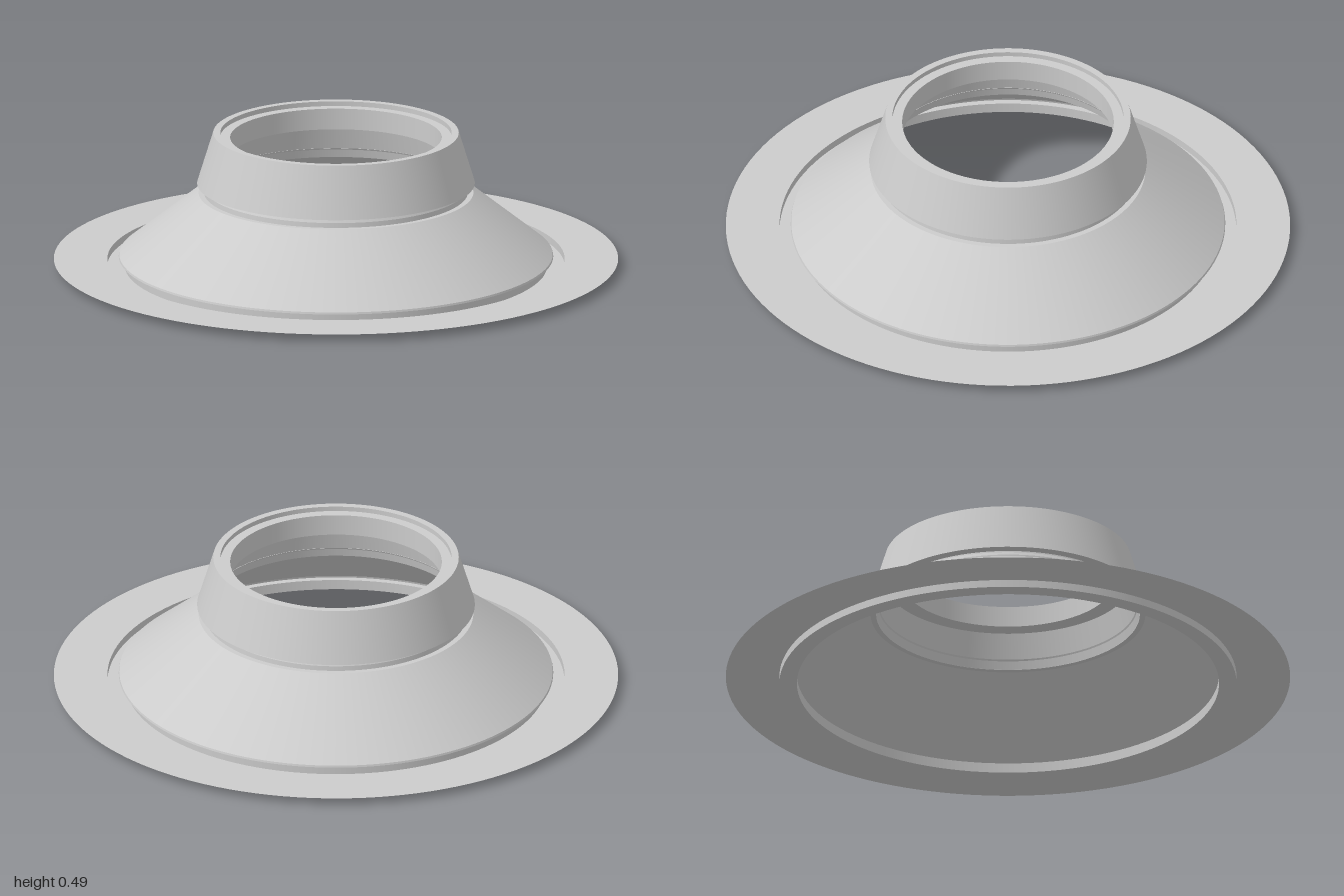
import * as THREE from 'three';
import { mergeGeometries } from 'three/addons/utils/BufferGeometryUtils.js';

const material = new THREE.MeshStandardMaterial({ color: 0xcccccc, side: THREE.DoubleSide });

// Revolve a profile of [radius, height] points, smooth around and sharp at each corner
function revolve(name, profile) {
  const bands = [];
  for (let i = 0; i < profile.length - 1; i++) {
    const ends = [profile[i], profile[i + 1]].map(([r, y]) => new THREE.Vector2(r, y));
    bands.push(new THREE.LatheGeometry(ends, 128));
  }
  const mesh = new THREE.Mesh(mergeGeometries(bands), material);
  mesh.name = name;
  return mesh;
}

export function createModel() {
  const model = new THREE.Group();
  model.name = 'flangedCollar';

  // Thin flat flange
  model.add(revolve('flange', [[1, 0.027], [0.81, 0.027]]));

  // Sunken channel between flange and cone
  model.add(revolve('channel', [[0.81, 0.027], [0.81, 0], [0.748, 0], [0.748, 0.036]]));

  // Sloping skirt with a small overhanging lip
  model.add(revolve('skirt', [[0.748, 0.036], [0.77, 0.036], [0.768, 0.043], [0.487, 0.27], [0.467, 0.27]]));

  // Short neck below the collar
  model.add(revolve('neck', [[0.467, 0.27], [0.465, 0.287], [0.455, 0.305]]));

  // Tapered collar: outer face, rim, inner step, bore, underside ledge and inner wall
  model.add(revolve('collar', [
    [0.455, 0.305], [0.492, 0.305], [0.435, 0.49], [0.41, 0.49], [0.41, 0.473],
    [0.375, 0.473], [0.375, 0.397], [0.435, 0.397], [0.465, 0.27],
  ]));

  return model;
}
